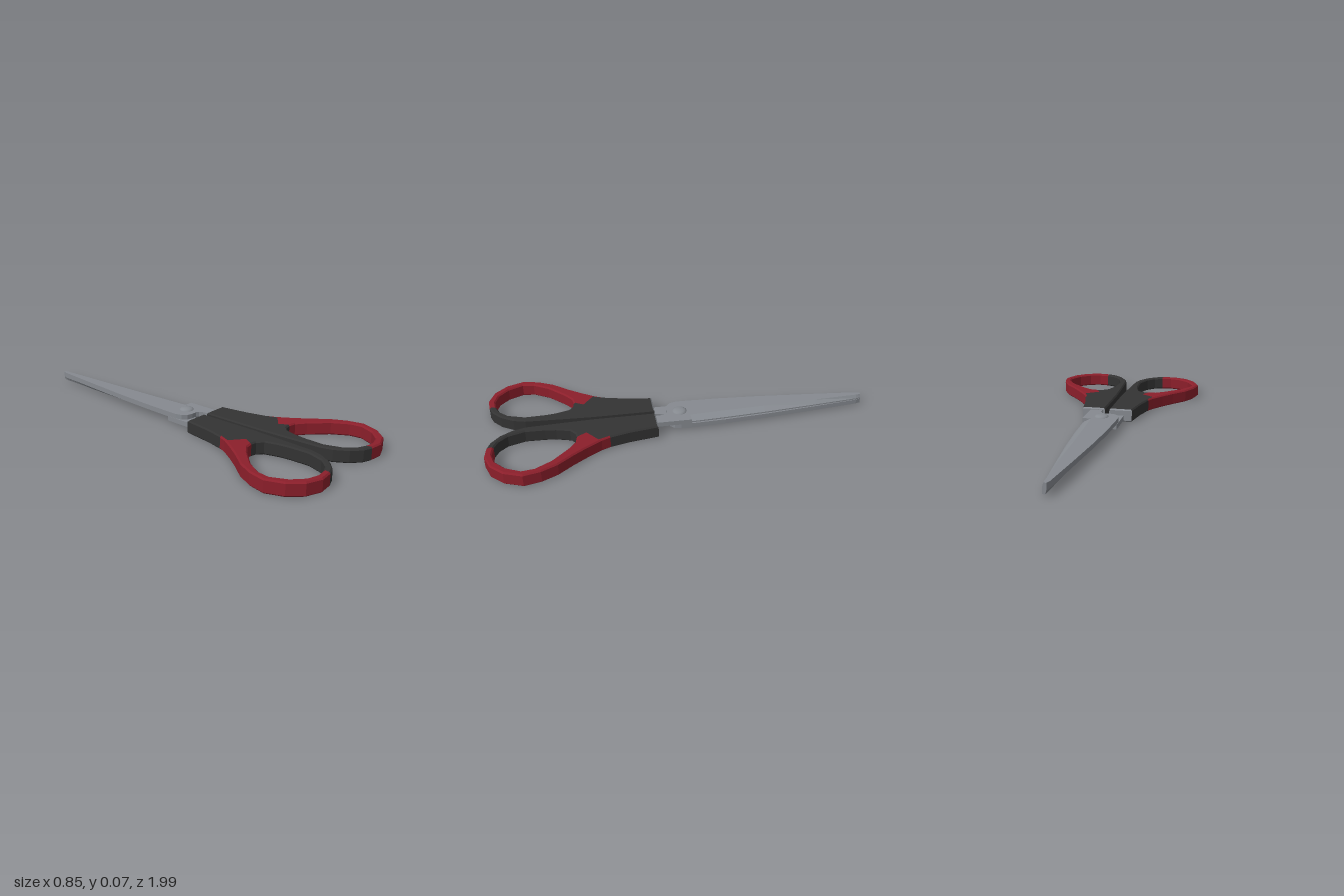
import * as THREE from 'three';
import { mergeGeometries } from 'three/addons/utils/BufferGeometryUtils.js';

const mat = (name, color) => new THREE.MeshStandardMaterial({ name, color });

// Closed handle outlines as [x, z]; the material lies to the right of travel.
const OUTER = [[0.012, 0.13], [0.137, 0.13], [0.16, 0.28], [0.185, 0.38], [0.205, 0.425], [0.25, 0.495],
  [0.30, 0.565], [0.365, 0.645], [0.405, 0.725], [0.424, 0.81], [0.39, 0.90], [0.33, 0.963], [0.25, 0.993],
  [0.18, 0.985], [0.135, 0.968], [0.085, 0.925], [0.045, 0.86], [0.028, 0.80], [0.018, 0.60], [0.012, 0.45]];
const HOLE = [[0.155, 0.545], [0.125, 0.55], [0.095, 0.575], [0.075, 0.645], [0.068, 0.70], [0.065, 0.80],
  [0.093, 0.885], [0.135, 0.93], [0.18, 0.95], [0.235, 0.957], [0.295, 0.94], [0.35, 0.89], [0.386, 0.815],
  [0.378, 0.755], [0.33, 0.675], [0.285, 0.63], [0.245, 0.59], [0.195, 0.552]];
const SEAM = [[0.20, 0.44], [0.13, 0.495]];
const OUT_A = 3, OUT_B = 13, HOLE_B = 8; // where the two grip colours meet
const H = 0.035, BEVEL = 0.007;

// Moves each corner of a loop into the material by distance d.
function inset(loop, d) {
  const n = loop.length;
  const normal = (a, b) => new THREE.Vector2(a[1] - b[1], b[0] - a[0]).normalize();
  return loop.map((p, i) => {
    const n1 = normal(loop[(i + n - 1) % n], p), n2 = normal(p, loop[(i + 1) % n]);
    const m = n1.clone().add(n2).normalize();
    m.multiplyScalar(d / m.dot(n1));
    return [p[0] + m.x, p[1] + m.y];
  });
}

function fromTriangles(pos) {
  const g = new THREE.BufferGeometry();
  g.setAttribute('position', new THREE.Float32BufferAttribute(pos, 3));
  g.computeVertexNormals();
  return g;
}

const quad = (pos, a, b, c, d) => pos.push(...a, ...b, ...c, ...a, ...c, ...d);

// Bevelled wall along the chosen segments of a loop.
function wall(loop, from, to) {
  const small = inset(loop, BEVEL), n = loop.length, pos = [];
  const rings = [[small, -H], [loop, -H + BEVEL], [loop, H - BEVEL], [small, H]];
  for (let i = from; i < to; i++) {
    for (let k = 0; k < 3; k++) {
      const at = (r, j) => [r[0][j % n][0], r[1], r[0][j % n][1]];
      quad(pos, at(rings[k], i + 1), at(rings[k], i), at(rings[k + 1], i), at(rings[k + 1], i + 1));
    }
  }
  return fromTriangles(pos);
}

// Flat top and bottom faces of a grip section.
function caps(points) {
  return [1, -1].map(side => {
    const shape = new THREE.Shape(points.map(p => new THREE.Vector2(p[0], -side * p[1])));
    const g = new THREE.ShapeGeometry(shape).rotateX(-side * Math.PI / 2).translate(0, side * H, 0).toNonIndexed();
    g.deleteAttribute('uv');
    return g;
  });
}

// Tapered blade with a ground cutting edge: [z, spine x, bevel x, edge x].
function bladeGeometry() {
  const stations = [[-1, -0.01, 0.004, 0.009], [-0.975, -0.018, 0.006, 0.015], [-0.74, -0.042, 0.016, 0.036],
    [-0.45, -0.069, 0.028, 0.06], [-0.23, -0.084, 0.037, 0.074], [-0.05, -0.09, 0.046, 0.082]];
  const rings = stations.map(([z, s, b, e]) =>
    [[s, 0, z], [s, 0.025, z], [b, 0.025, z], [e, 0.007, z], [e, 0, z]]);
  const pos = [];
  for (let k = 0; k < rings.length - 1; k++) {
    for (let i = 0; i < 5; i++) {
      const j = (i + 1) % 5;
      quad(pos, rings[k + 1][i], rings[k + 1][j], rings[k][j], rings[k][i]);
    }
  }
  const tip = rings[0], back = rings[rings.length - 1];
  for (let i = 1; i < 4; i++) {
    pos.push(...tip[0], ...tip[i], ...tip[i + 1]);
    pos.push(...back[0], ...back[i + 1], ...back[i]);
  }
  return fromTriangles(pos);
}

// Plate around the pivot, running back into the handle.
function shankGeometry() {
  const pts = [[-0.09, -0.05], [-0.09, 0.005], [-0.082, 0.038], [-0.06, 0.06], [-0.03, 0.068], [0, 0.066],
    [0.015, 0.075], [0.025, 0.097], [0.028, 0.15], [0.092, 0.15], [0.092, -0.05]];
  const shape = new THREE.Shape(pts.map(p => new THREE.Vector2(p[0], -p[1])));
  return new THREE.ExtrudeGeometry(shape, { depth: 0.025, bevelEnabled: false }).rotateX(-Math.PI / 2);
}

export function createModel() {
  const steel = mat('steel', 0x868a90);
  const black = mat('blackGrip', 0x333333);
  const red = mat('redGrip', 0x8c1f2b);
  const model = new THREE.Group();
  model.name = 'scissors';

  const o = inset(OUTER, BEVEL), h = inset(HOLE, BEVEL);
  const redFace = [...o.slice(OUT_A, OUT_B + 1), ...h.slice(HOLE_B), h[0], SEAM[1], SEAM[0]];
  const blackFace = [...o.slice(OUT_B), ...o.slice(0, OUT_A + 1), ...SEAM, ...h.slice(0, HOLE_B + 1)];
  const parts = [
    ['blade', bladeGeometry(), steel],
    ['shank', shankGeometry(), steel],
    ['handleEnd', wall(OUTER, 0, 1), steel],
    ['redGrip', mergeGeometries([...caps(redFace), wall(OUTER, OUT_A, OUT_B), wall(HOLE, HOLE_B, HOLE.length)]), red],
    ['blackGrip', mergeGeometries([...caps(blackFace), wall(OUTER, 1, OUT_A),
      wall(OUTER, OUT_B, OUTER.length), wall(HOLE, 0, HOLE_B)]), black],
  ];

  // The second half is the first one turned over about the long axis.
  ['upperHalf', 'lowerHalf'].forEach((name, i) => {
    const half = new THREE.Group();
    half.name = name;
    for (const [partName, geometry, material] of parts) {
      const mesh = new THREE.Mesh(geometry, material);
      mesh.name = partName;
      half.add(mesh);
    }
    half.position.y = H;
    half.rotation.z = i * Math.PI;
    model.add(half);
  });

  // Domed pivot screw
  const profile = [[0.038, 0.058], [0.037, 0.063], [0.029, 0.069], [0.016, 0.072], [0, 0.073]];
  const pivot = new THREE.Mesh(new THREE.LatheGeometry(profile.map(p => new THREE.Vector2(...p)), 20), steel);
  pivot.name = 'pivotScrew';
  model.add(pivot);
  return model;
}
